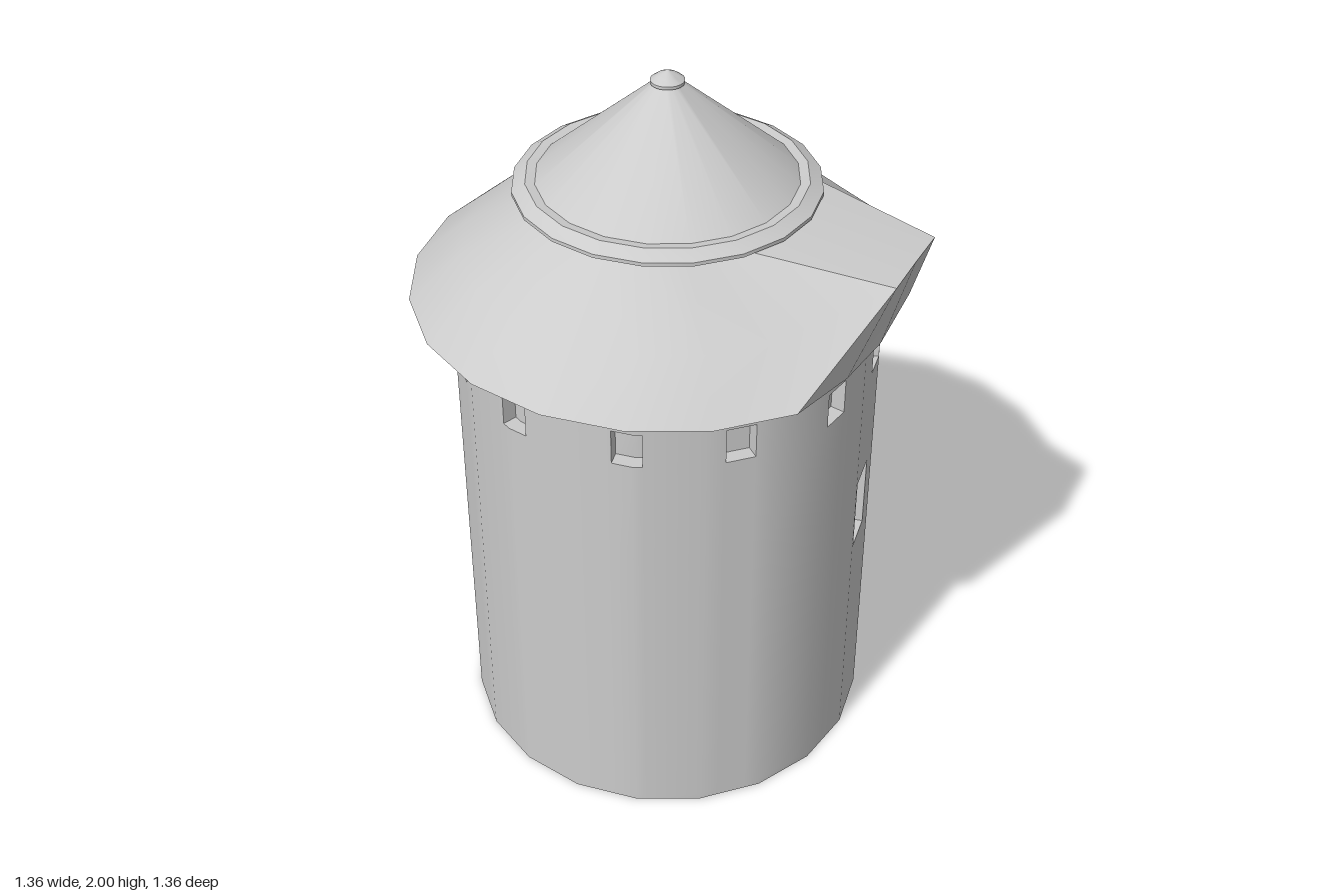
import * as THREE from 'three';
import { toCreasedNormals } from 'three/addons/utils/BufferGeometryUtils.js';

const SIDES = 20, STEP = 18, EAVE = 1.395;
const R_OUT = 0.57, R_PANE = 0.53, R_IN = 0.525;
const material = new THREE.MeshStandardMaterial({ color: 0xcccccc, side: THREE.DoubleSide });

// Point at an angle in degrees, measured from the front (+z) towards +x
const polar = (r, deg, y) => {
  const t = THREE.MathUtils.degToRad(deg);
  return [r * Math.sin(t), y, r * Math.cos(t)];
};

// Same, but lying on the flat side of the 20-sided wall
const onWall = (r, deg, y) => {
  const off = deg - (Math.floor(deg / STEP + 1e-9) + 0.5) * STEP;
  const rad = THREE.MathUtils.degToRad;
  return polar(r * Math.cos(rad(STEP / 2)) / Math.cos(rad(off)), deg, y);
};

function pushQuad(list, a, b, c, d, diagonalAC = true) {
  if (diagonalAC) list.push(...a, ...b, ...c, ...a, ...c, ...d);
  else list.push(...a, ...b, ...d, ...b, ...c, ...d);
}

function makeMesh(name, source) {
  let geometry = source;
  if (Array.isArray(source)) {
    geometry = new THREE.BufferGeometry();
    geometry.setAttribute('position', new THREE.Float32BufferAttribute(source, 3));
  }
  const mesh = new THREE.Mesh(toCreasedNormals(geometry, 0.45), material);
  mesh.name = name;
  return mesh;
}

// Openings: centre angle, half width in degrees, bottom, top, and kind
const WALL = 0, RECESS = 1, OPEN = 2;
const openings = [
  { at: 96.5, half: 5.5, y0: 0.675, y1: 0.89, kind: RECESS },
  { at: 240.8, half: 6.2, y0: 0.68, y1: 0.9, kind: RECESS },
  { at: 243.5, half: 16, y0: 0.02, y1: 0.5, kind: OPEN },
];
for (const a of [16.5, 45.7, 76.2]) {
  for (const at of [a, 180 - a, 180 + a, 360 - a]) {
    openings.push({ at, half: 4, y0: 1.2, y1: 1.3, kind: RECESS });
  }
}

const sortedUnique = (values) => values.sort((a, b) => a - b)
  .filter((v, i, all) => i === 0 || v - all[i - 1] > 1e-4);

// Thick wall: a grid of cells split at every facet and opening edge
function buildWall() {
  const angles = sortedUnique([
    ...Array.from({ length: SIDES + 1 }, (_, i) => i * STEP),
    ...openings.flatMap((o) => [o.at - o.half, o.at + o.half]),
  ]);
  const levels = sortedUnique([0, EAVE, ...openings.flatMap((o) => [o.y0, o.y1])]);
  const columns = angles.length - 1, rows = levels.length - 1;

  const kindOf = (i, j) => {
    if (j < 0 || j >= rows) return OPEN;
    const c = (i + columns) % columns;
    const t = (angles[c] + angles[c + 1]) / 2, y = (levels[j] + levels[j + 1]) / 2;
    const hit = openings.find((o) => Math.abs(t - o.at) < o.half && y > o.y0 && y < o.y1);
    return hit ? hit.kind : WALL;
  };

  const tris = [];
  // Reveal between two neighbouring cells of different kind
  const reveal = (k1, k2, p, q) => {
    if (k1 === k2) return;
    const outer = Math.min(k1, k2) === WALL ? R_OUT : R_PANE;
    const inner = Math.max(k1, k2) === OPEN ? R_IN : R_PANE;
    const quad = [onWall(outer, ...p), onWall(outer, ...q), onWall(inner, ...q), onWall(inner, ...p)];
    if (k1 > k2) quad.reverse();
    pushQuad(tris, ...quad);
  };

  for (let i = 0; i < columns; i++) {
    const t0 = angles[i], t1 = angles[i + 1];
    for (let j = 0; j <= rows; j++) {
      const kind = kindOf(i, j), y0 = levels[j];
      reveal(kindOf(i, j - 1), kind, [t0, y0], [t1, y0]);
      if (j === rows) continue;
      const y1 = levels[j + 1];
      reveal(kindOf(i - 1, j), kind, [t0, y1], [t0, y0]);
      if (kind === OPEN) continue;
      const r = kind === WALL ? R_OUT : R_PANE;
      pushQuad(tris, onWall(r, t0, y0), onWall(r, t1, y0), onWall(r, t1, y1), onWall(r, t0, y1));
      pushQuad(tris, onWall(R_IN, t1, y0), onWall(R_IN, t0, y0), onWall(R_IN, t0, y1), onWall(R_IN, t1, y1));
    }
  }
  return makeMesh('towerWall', tris);
}

// Lower roof: rings of points, some pulled outward to form the dormer
function buildLowerRoof() {
  const rings = [[0.55, EAVE], [0.68, EAVE], [0.54, 1.515], [0.35, 1.68]];
  const DORMER = 5; // column facing +x
  const point = (i, j) => {
    const side = i - DORMER;
    if (Math.abs(side) <= 1) {
      if (j === 1) return side ? [0.6, EAVE, -0.21 * side] : [0.605, 1.37, 0];
      if (j === 2) return side ? [0.68, 1.635, -0.13 * side] : [0.68, 1.637, 0];
    }
    return polar(rings[j][0], i * STEP, rings[j][1]);
  };
  const tris = [];
  for (let i = 0; i < SIDES; i++) {
    for (let j = 0; j < rings.length - 1; j++) {
      pushQuad(tris, point(i, j), point(i + 1, j), point(i + 1, j + 1), point(i, j + 1),
        (i < DORMER) === (j === 1));
    }
  }
  return makeMesh('lowerRoofWithDormer', tris);
}

function buildLathe(name, profile) {
  const points = profile.map(([r, y]) => new THREE.Vector2(r, y));
  return makeMesh(name, new THREE.LatheGeometry(points, SIDES));
}

export function createModel() {
  const group = new THREE.Group();
  group.name = 'tower';
  group.add(
    buildWall(),
    buildLowerRoof(),
    buildLathe('roofRing', [[0.34, 1.68], [0.4, 1.68], [0.4, 1.69], [0.365, 1.71], [0.335, 1.706]]),
    buildLathe('upperRoof', [[0.342, 1.705], [0.03, 1.972]]),
    buildLathe('finial', [[0.025, 1.966], [0.044, 1.966], [0.044, 1.974], [0.028, 1.986], [0, 2]]),
  );
  return group;
}
